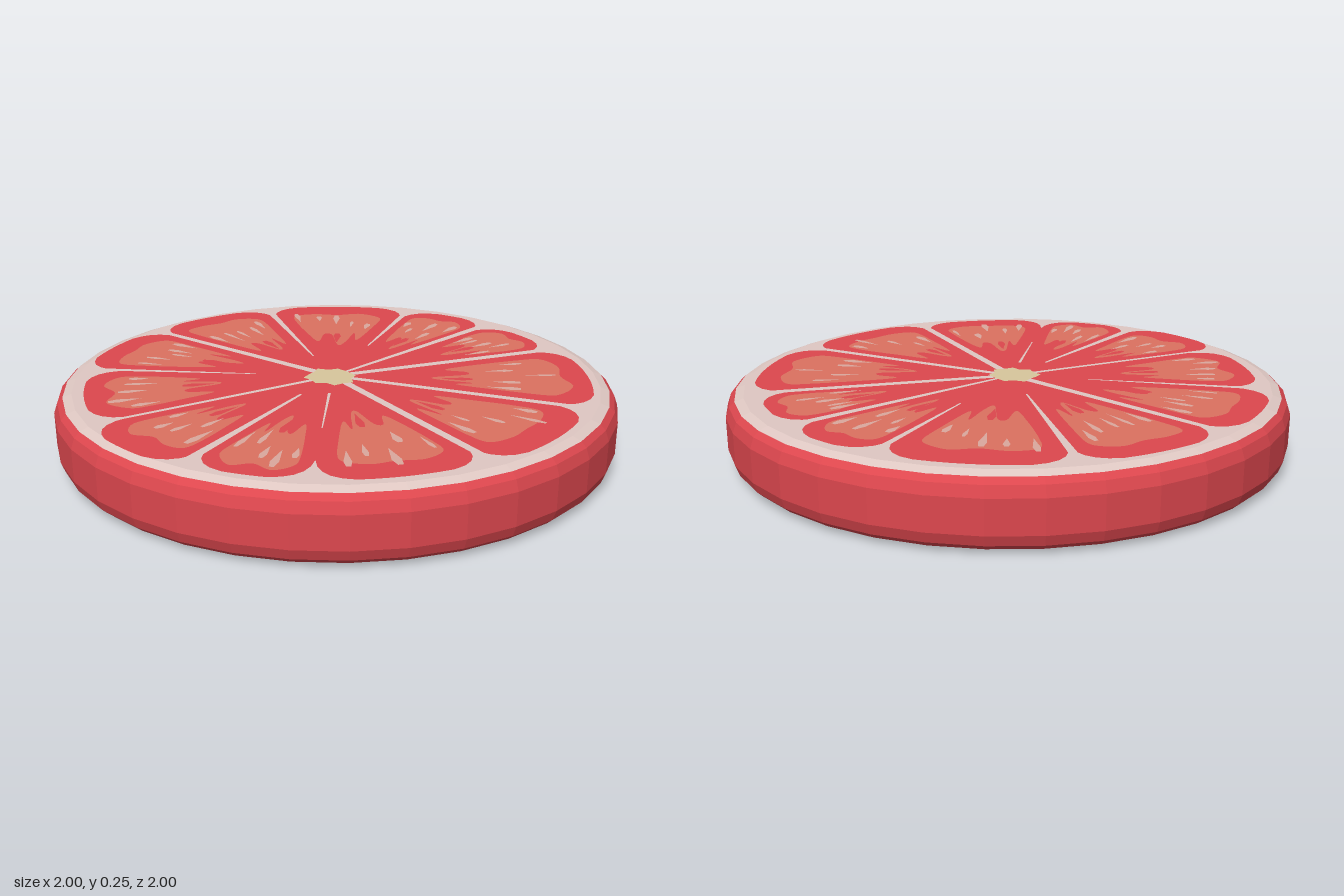
import * as THREE from 'three';
import { mergeGeometries } from 'three/addons/utils/BufferGeometryUtils.js';

const H = 0.25, CX = -0.02, SIDES = 36;
const RAD = Math.PI / 180;

const mat = (name, color) => {
  const m = new THREE.MeshStandardMaterial({ color });
  m.name = name;
  return m;
};

// point at an angle and radius around the slightly off-centre core
const pt = (deg, r) => new THREE.Vector2(CX + r * Math.cos(deg * RAD), r * Math.sin(deg * RAD));

// segments: start angle, end angle, outer radius, pulp inner and outer radius
const SEGMENTS = [
  [56, 90, 0.92, 0.36, 0.84], [17, 56, 0.92, 0.38, 0.82], [-7, 17, 0.92, 0.4, 0.84],
  [-32, -7, 0.9, 0.5, 0.85], [-73, -32, 0.92, 0.36, 0.84], [-110, -73, 0.91, 0.36, 0.81],
  [-146, -110, 0.89, 0.36, 0.8], [-172, -146, 0.89, 0.42, 0.84], [-201, -172, 0.92, 0.42, 0.83],
  [-237, -201, 0.88, 0.4, 0.8], [-270, -237, 0.92, 0.38, 0.84],
];

// membranes: angle, start radius, end radius, start width, end width
const MEMBRANES = [
  [90, 0.04, 0.9, 0.034, 0.026], [56, 0.24, 0.9, 0.006, 0.03], [17, 0.38, 0.9, 0.006, 0.026],
  [-7, 0.05, 0.88, 0.014, 0.034], [-32, 0.04, 0.88, 0.03, 0.034], [-73, 0.04, 0.89, 0.026, 0.03],
  [-110, 0.04, 0.88, 0.03, 0.03], [-146, 0.18, 0.5, 0.01, 0.004], [-172, 0.22, 0.88, 0.01, 0.034],
  [159, 0.06, 0.88, 0.02, 0.016], [123, 0.28, 0.88, 0.006, 0.026],
];

// small seeded generator
function seeded(seed) {
  return () => (seed = (seed * 16807) % 2147483647) / 2147483647;
}

// wedge from the core with two rounded outer corners
function wedge(a0, a1, R) {
  const s = new THREE.Shape();
  const d = 8.5, corner = 0.14;
  const move = (fn, ...ps) => s[fn](...ps.flatMap((p) => [p.x, p.y]));
  move('moveTo', pt(a0, 0));
  move('lineTo', pt(a0, R - corner));
  move('quadraticCurveTo', pt(a0 + 0.8, R - 0.01), pt(a0 + d, R));
  for (let i = 1; i <= 6; i++) move('lineTo', pt(a0 + d + ((a1 - a0 - 2 * d) * i) / 6, R));
  move('quadraticCurveTo', pt(a1 - 0.8, R - 0.01), pt(a1, R - corner));
  return s;
}

// uneven lighter patch inside a segment, ragged towards the core
function pulp(a0, a1, rin, rout, rnd) {
  const outline = [
    [0.14, rout - 0.13], [0.16, rout - 0.04], [0.33, rout], [0.5, rout - 0.02], [0.68, rout], [0.84, rout - 0.04],
    [0.86, rout - 0.13], [0.82, rin + 0.16], [0.74, rin + 0.05], [0.64, rin + 0.13], [0.55, rin + 0.12],
    [0.46, rin], [0.36, rin + 0.02], [0.3, rin + 0.15], [0.22, rin + 0.08],
  ];
  const pts = outline.map(([t, r]) => pt(a0 + (a1 - a0) * t, r + (rnd() - 0.5) * 0.03));
  const s = new THREE.Shape();
  s.moveTo(pts[0].x, pts[0].y);
  s.splineThru([...pts.slice(1), pts[0]]);
  return s;
}

// narrow radial strip
function strip(a, r0, r1, w0, w1) {
  const n = new THREE.Vector2(-Math.sin(a * RAD), Math.cos(a * RAD));
  const at = (r, w) => pt(a, r).addScaledVector(n, w / 2);
  return new THREE.Shape([at(r0, -w0), at(r1, -w1), at(r1, w1), at(r0, w0)]);
}

// pointed fleck, widest near its outer end
function fleck(a, r0, r1, w) {
  const n = new THREE.Vector2(-Math.sin(a * RAD), Math.cos(a * RAD));
  const at = (r, k) => pt(a, r).addScaledVector(n, (w * k) / 2);
  const m = r0 + (r1 - r0) * 0.7;
  return new THREE.Shape([at(r0, 0), at(m, -1), at(r1, -0.5), at(r1, 0.6), at(m, 1)]);
}

// ragged core with short spikes along some membranes
function coreShape() {
  const radii = [0.08, 0.09, 0.075, 0.1, 0.08, 0.085, 0.1, 0.08, 0.09, 0.07, 0.095, 0.085, 0.1, 0.075, 0.09, 0.08];
  return new THREE.Shape(radii.map((r, i) => pt((i * 360) / radii.length, r).add(new THREE.Vector2(-0.01, 0))));
}

// flat geometry lying on the upper or lower cut face
function flat(shapes, level, top) {
  const geo = new THREE.ShapeGeometry(shapes, 5);
  geo.rotateX(-Math.PI / 2);
  geo.translate(0, level, 0);
  if (!top) {
    geo.scale(1, -1, 1);
    geo.translate(0, H, 0);
    geo.index.array.reverse();
    geo.computeVertexNormals();
  }
  return geo;
}

// faceted ring from a profile listed from bottom to top
function turned(profile) {
  const geo = new THREE.LatheGeometry(profile.map(([x, y]) => new THREE.Vector2(x, y)), SIDES).toNonIndexed();
  geo.computeVertexNormals();
  return geo;
}

export function createModel() {
  const group = new THREE.Group();
  group.name = 'citrusSlice';
  const red = mat('red flesh and peel', 0xdd474e);
  const orange = mat('orange pulp', 0xdc7160);
  const white = mat('pale pith', 0xdfc8c3);
  const pale = mat('pale fleck', 0xdba89e);
  const beige = mat('beige core', 0xd8c79c);
  const add = (parent, name, geo, material) => {
    const mesh = new THREE.Mesh(geo, material);
    mesh.name = name;
    parent.add(mesh);
  };

  // peel and the pith faces that close it
  const edge = [[0, 0.247], [0.937, 0.247], [0.968, 0.236]];
  add(group, 'peel', turned([[0.968, 0.014], [0.987, 0.032], [1, 0.068], [1, 0.182], [0.987, 0.218], [0.968, 0.236]]), red);
  const pith = [turned([...edge].reverse()), turned(edge.map(([x, y]) => [x, H - y]))];
  add(group, 'bottomPith', pith[1], white);
  add(group, 'topPith', pith[0], white);

  // same cut pattern on both faces
  for (const top of [true, false]) {
    const face = new THREE.Group();
    face.name = top ? 'topFace' : 'bottomFace';
    const rnd = seeded(77);
    const flecks = [], slivers = [];
    SEGMENTS.forEach(([a0, a1, R, rin, rout], i) => {
      add(face, `segment${i + 1}`, flat(wedge(a0, a1, R), 0.2478, top), red);
      add(face, `pulp${i + 1}`, flat(pulp(a0, a1, rin, rout, rnd), 0.2485, top), orange);
      for (let k = 0; k < 5; k++) {
        const a = a0 + (a1 - a0) * (0.2 + 0.15 * k + 0.05 * (rnd() - 0.5));
        const r = 0.54 + 0.16 * rnd();
        flecks.push(fleck(a, r, r + 0.07 + 0.07 * rnd(), 0.016 + 0.016 * rnd()));
      }
      slivers.push(fleck(a0 + (a1 - a0) * (0.4 + 0.15 * rnd()), rin + 0.02, rin + 0.14, 0.03));
    });
    add(face, 'redSlivers', flat(slivers, 0.249, top), red);
    add(face, 'flecks', flat(flecks, 0.2492, top), pale);
    add(face, 'membranes', mergeGeometries(MEMBRANES.map((m) => flat(strip(...m), 0.2494, top))), white);
    add(face, 'core', flat(coreShape(), 0.25, top), beige);
    group.add(face);
  }
  return group;
}
